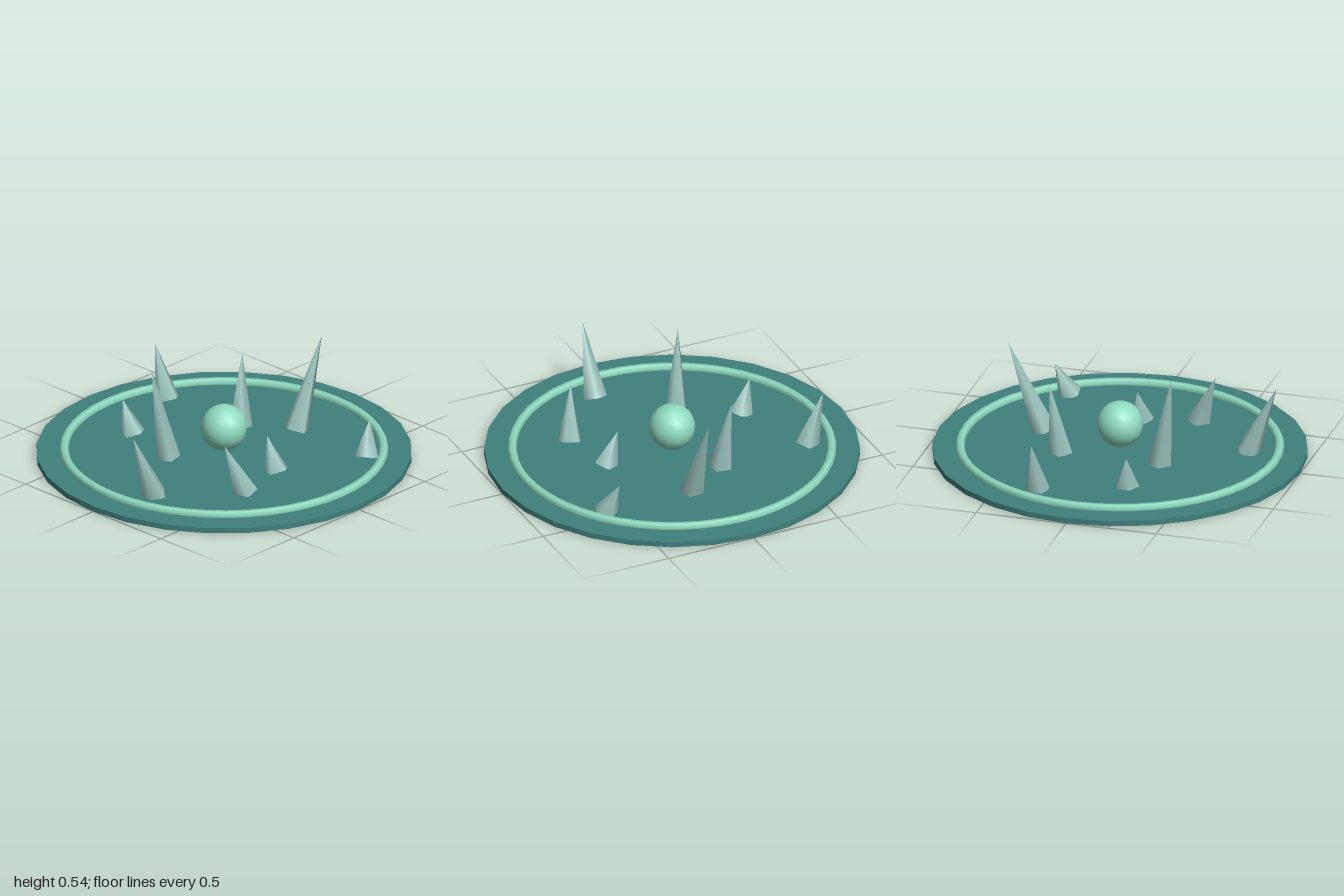
import * as THREE from 'three';

export function createModel() {
  const model = new THREE.Group();
  const mat = (name, color) => {
    const m = new THREE.MeshStandardMaterial({ color });
    m.name = name;
    return m;
  };
  const deepTeal = mat('deep teal', 0x3f807c);
  const mint = mat('mint', 0x8fdcc0);
  const paleCrystal = mat('pale crystal', 0x9cc4be);

  const add = (name, geometry, material, y = 0) => {
    const mesh = new THREE.Mesh(geometry, material);
    mesh.name = name;
    mesh.position.y = y;
    model.add(mesh);
    return mesh;
  };

  // Base disc, raised ring and central orb
  add('baseDisc', new THREE.CylinderGeometry(1, 1, 0.03, 28), deepTeal, 0.015);
  add('ring', new THREE.TorusGeometry(0.85, 0.025, 6, 48).rotateX(Math.PI / 2), mint, 0.04);
  add('orb', new THREE.SphereGeometry(0.125, 14, 10), mint, 0.165);

  // Leaning five-sided spikes: base x, base z, tip x, tip y, tip z, corner angle in degrees
  const spikes = [
    [0.1, -0.45, 0.095, 0.52, -0.65, 85],
    [0.61, -0.46, 0.565, 0.215, -0.53, 50],
    [-0.67, -0.26, -0.765, 0.32, -0.265, 0],
    [-0.155, -0.28, -0.19, 0.43, -0.335, 30],
    [0.39, 0, 0.32, 0.215, 0, 0],
    [-0.155, 0.27, -0.2, 0.54, 0.345, -40],
    [-0.495, 0.185, -0.555, 0.215, 0.2, 5],
    [0.455, 0.305, 0.4, 0.315, 0.41, -36],
    [0.135, 0.67, 0.13, 0.415, 0.83, -80],
  ];
  const up = new THREE.Vector3(0, 1, 0);
  spikes.forEach(([bx, bz, tx, ty, tz, corner], i) => {
    const base = new THREE.Vector3(bx, 0.03, bz);
    const axis = new THREE.Vector3(tx, ty, tz).sub(base);
    const height = axis.length();
    const cone = new THREE.ConeGeometry(0.068, height, 5);
    cone.rotateY(THREE.MathUtils.degToRad(90 - corner)).translate(0, height / 2, 0);
    const spike = add(`spike${i + 1}`, cone, paleCrystal);
    spike.position.copy(base);
    spike.quaternion.setFromUnitVectors(up, axis.normalize());
  });

  return model;
}
